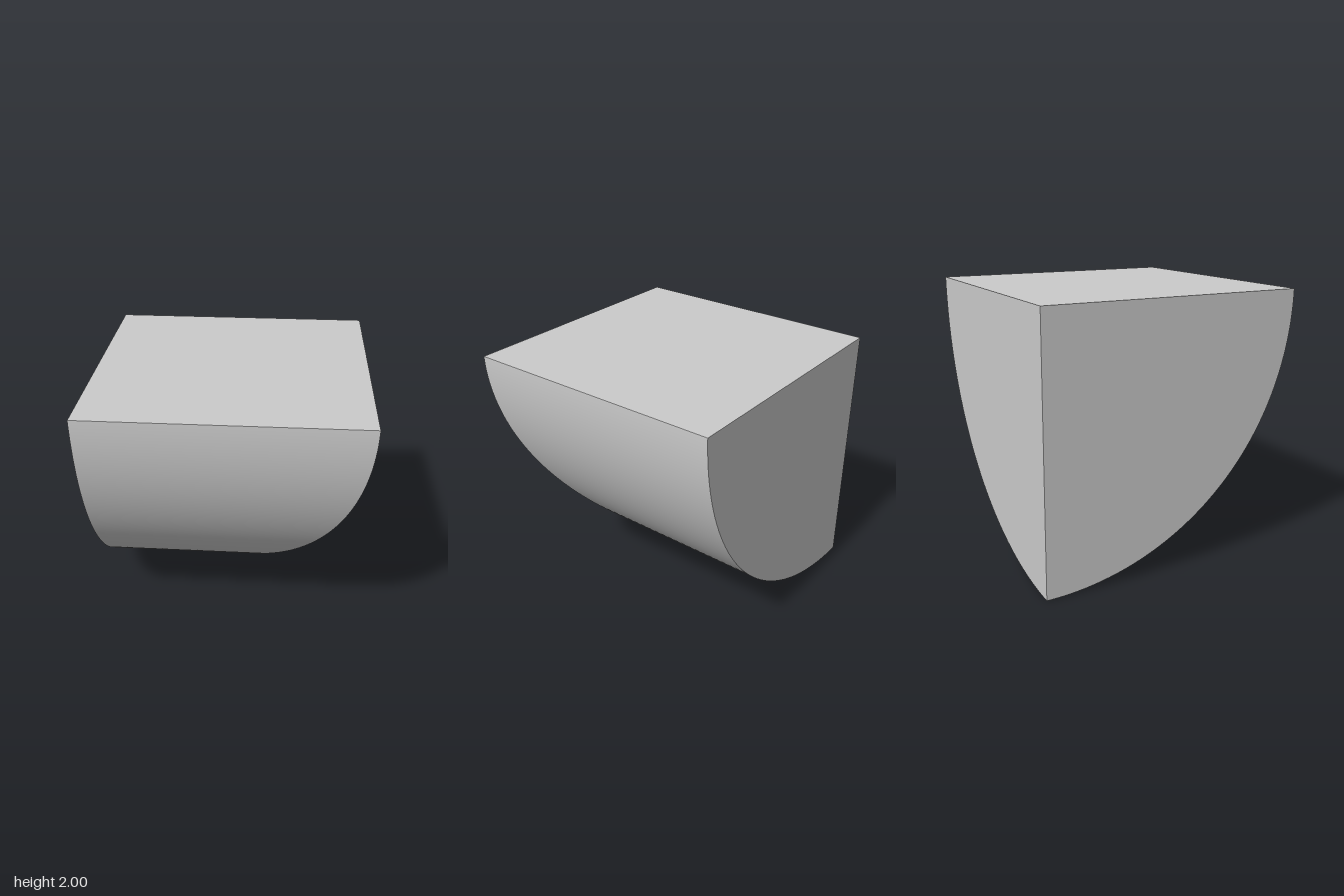
import * as THREE from 'three';

const STEPS = 64;
const SIZE = 2;

// One side wall: a strip between two corner rails that rise along a quarter circle.
// left and right are [x, z] switches: 0 keeps a rail on the straight back corner,
// 1 lets it travel outward with the arc. out is the outward [x, z] direction.
function wall(name, left, right, out, curved, material) {
  const positions = [], normals = [], index = [];
  for (let i = 0; i <= STEPS; i++) {
    const t = (i / STEPS) * Math.PI / 2;
    const reach = SIZE * Math.sin(t);
    const y = SIZE * (1 - Math.cos(t));
    const spread = curved ? Math.sin(t) : 1;
    const down = curved ? -Math.cos(t) : 0;
    for (const [kx, kz] of [left, right]) {
      positions.push(-1 + kx * reach, y, -1 + kz * reach);
      normals.push(out[0] * spread, down, out[1] * spread);
    }
    if (i < STEPS) {
      const a = i * 2;
      // the lowest row closes to a point, so it needs a single triangle
      if (i > 0) index.push(a, a + 1, a + 3);
      index.push(a, a + 3, a + 2);
    }
  }
  const geometry = new THREE.BufferGeometry();
  geometry.setAttribute('position', new THREE.Float32BufferAttribute(positions, 3));
  geometry.setAttribute('normal', new THREE.Float32BufferAttribute(normals, 3));
  geometry.setIndex(index);
  const mesh = new THREE.Mesh(geometry, material);
  mesh.name = name;
  return mesh;
}

export function createModel() {
  const group = new THREE.Group();
  group.name = 'crossedQuarterCylinders';
  const material = new THREE.MeshStandardMaterial({ color: 0xcccccc });

  // two curved walls meeting at a mitred ridge
  group.add(wall('frontCurvedWall', [0, 1], [1, 1], [0, 1], true, material));
  group.add(wall('leftCurvedWall', [1, 1], [1, 0], [1, 0], true, material));

  // two flat quarter-disc walls
  group.add(wall('backFlatWall', [1, 0], [0, 0], [0, -1], false, material));
  group.add(wall('rightFlatWall', [0, 0], [0, 1], [-1, 0], false, material));

  // flat square top
  const top = new THREE.Mesh(new THREE.PlaneGeometry(SIZE, SIZE), material);
  top.name = 'top';
  top.rotation.x = -Math.PI / 2;
  top.position.y = SIZE;
  group.add(top);

  return group;
}
